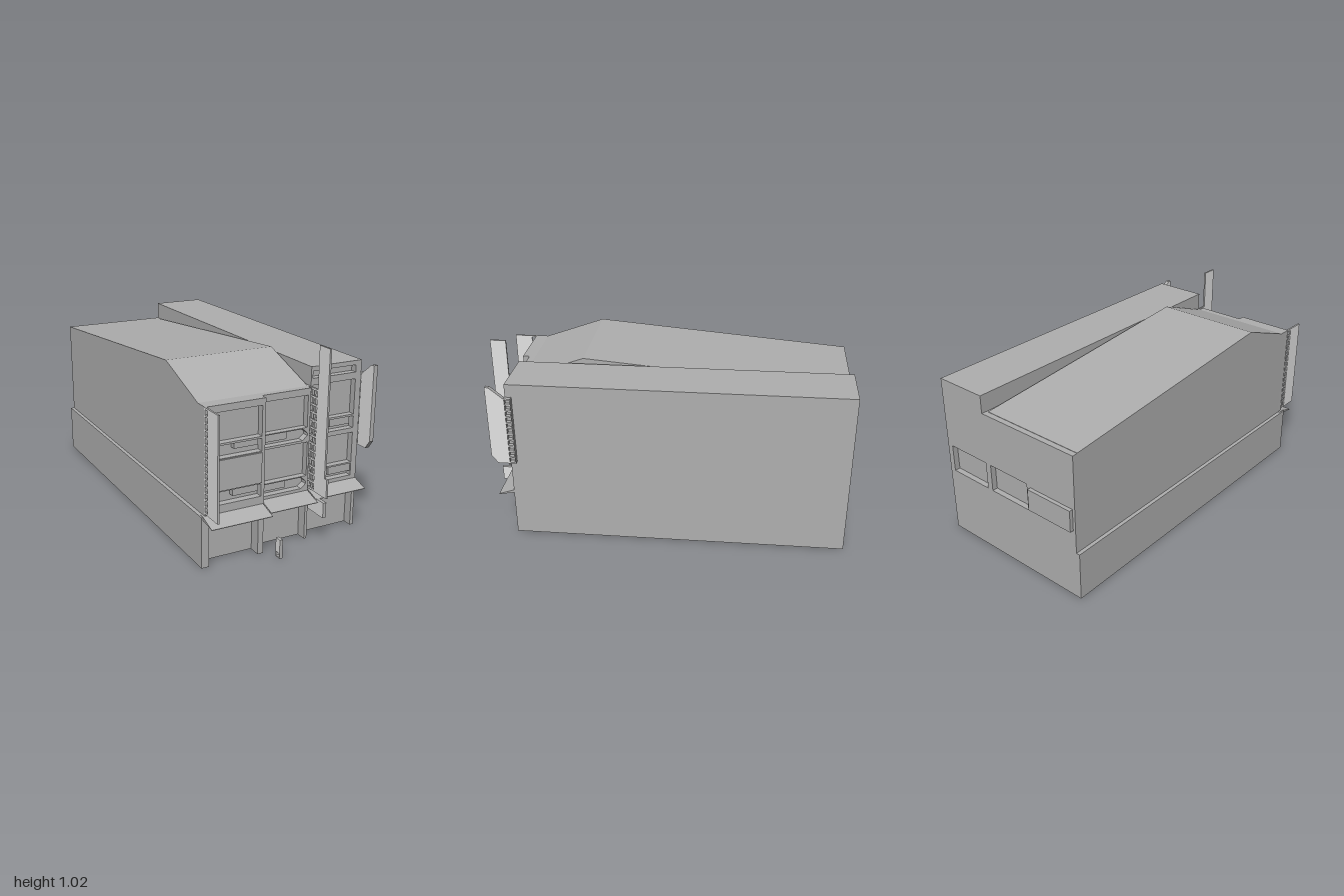
import * as THREE from 'three';

const wall = new THREE.MeshStandardMaterial({ color: 0xafafaf });
wall.name = 'wall grey';
const pale = new THREE.MeshStandardMaterial({ color: 0xe2e2e2 });
pale.name = 'pale grey';

export function createModel() {
  const model = new THREE.Group();
  model.name = 'shopBuilding';

  const points = (pts) => pts.map(([x, y]) => new THREE.Vector2(x, y));
  const rect = (x0, x1, y0, y1) => [[x0, y0], [x1, y0], [x1, y1], [x0, y1]];
  function extrude(pts, holes, depth) {
    const s = new THREE.Shape(points(pts));
    holes.forEach((h) => s.holes.push(new THREE.Path(points(h))));
    return new THREE.ExtrudeGeometry(s, { depth, bevelEnabled: false });
  }

  // The whole plot leans slightly sideways towards the back.
  function add(name, geo, mat = wall) {
    const p = geo.attributes.position;
    for (let i = 0; i < p.count; i++) {
      const z = p.getZ(i);
      if (z < 0.81) p.setX(i, p.getX(i) - 0.0083 * (0.81 - z));
    }
    geo.computeVertexNormals();
    const mesh = new THREE.Mesh(geo, mat);
    mesh.name = name;
    model.add(mesh);
  }
  function box(name, x0, x1, y0, y1, z0, z1, mat) {
    const g = new THREE.BoxGeometry(x1 - x0, y1 - y0, z1 - z0);
    g.translate((x0 + x1) / 2, (y0 + y1) / 2, (z0 + z1) / 2);
    add(name, g, mat);
  }
  // Profile given as (z, y), extruded across x.
  function slab(name, x0, x1, pts, mat, holes = []) {
    const g = extrude(pts, holes, x1 - x0);
    g.rotateY(-Math.PI / 2);
    g.translate(x1, 0, 0);
    add(name, g, mat);
  }
  // Outline given as (x, y), with openings, extruded along z.
  function plate(name, pts, holes, z0, z1) {
    const g = extrude(pts, holes, z1 - z0);
    g.translate(0, 0, z0);
    add(name, g);
  }

  // Main volumes, with a pale underside
  box('underside', -0.47, 0.458, 0, 0.003, -0.98, 0.76, [wall, wall, wall, pale, wall, wall]);
  box('lowerBody', -0.47, 0.458, 0.003, 0.265, -0.95, 0.76);
  slab('pitchedBody', -0.45, 0.147, [[-0.95, 0.265], [0.8, 0.265], [0.8, 0.803], [0.46, 0.925], [-0.95, 0.806]]);
  box('roofGutter', 0.147, 0.16, 0.265, 0.803, -0.95, 0.775);
  box('flatRoofBody', 0.16, 0.458, 0.265, 0.9, -0.95, 0.775);

  // Back wall with two recessed windows and one shuttered window
  plate('backWall',
    [[-0.47, 0.003], [0.458, 0.003], [0.458, 0.9], [0.16, 0.9], [0.16, 0.804], [-0.45, 0.804], [-0.45, 0.265], [-0.47, 0.265]],
    [rect(0.165, 0.425, 0.37, 0.52), rect(-0.13, 0.13, 0.37, 0.52)], -0.98, -0.95);
  box('backShutter', -0.435, -0.155, 0.39, 0.51, -1, -0.97);

  // Upper facades with window and balcony openings
  box('leftBayBacking', -0.45, -0.13, 0.265, 0.803, 0.79, 0.835);
  const roundLeft = (y) => [[-0.395, y], [-0.148, y], [-0.148, y + 0.065], [-0.395, y + 0.065],
    [-0.413, y + 0.055], [-0.42, y + 0.035], [-0.413, y + 0.012]];
  const roundRight = (y) => [[-0.12, y], [0.105, y], [0.132, y + 0.022], [0.132, y + 0.036], [0.105, y + 0.06], [-0.12, y + 0.06]];
  plate('leftFacade', rect(-0.45, -0.13, 0.265, 0.803),
    [rect(-0.43, -0.148, 0.615, 0.768), roundLeft(0.54), roundLeft(0.308)], 0.835, 0.872);
  plate('middleFacade', rect(-0.13, 0.145, 0.265, 0.803),
    [rect(-0.128, 0.13, 0.603, 0.768), roundRight(0.538), rect(-0.128, 0.134, 0.348, 0.526), roundRight(0.283)], 0.8, 0.835);
  plate('rightFacade', [[0.145, 0.265], [0.458, 0.265], [0.458, 0.9], [0.16, 0.9], [0.16, 0.803], [0.145, 0.803]],
    [rect(0.17, 0.425, 0.84, 0.877), rect(0.17, 0.425, 0.62, 0.805), rect(0.17, 0.425, 0.547, 0.61),
      rect(0.17, 0.425, 0.36, 0.522), rect(0.17, 0.425, 0.287, 0.352)], 0.775, 0.81);
  box('leftWindowPanel', -0.43, -0.148, 0.38, 0.535, 0.868, 0.878);

  // Air-conditioner boxes on the balconies
  [[-0.295, -0.165, 0.575, 0.612, 0.865], [-0.3, -0.162, 0.337, 0.378, 0.865],
    [-0.118, 0.015, 0.56, 0.6, 0.828], [-0.116, 0.013, 0.306, 0.345, 0.828],
    [0.285, 0.405, 0.57, 0.615, 0.803], [0.29, 0.425, 0.31, 0.354, 0.803]]
    .forEach(([x0, x1, y0, y1, z]) => box('airUnit', x0, x1, y0, y1, z - 0.035, z));

  // Ground floor: recessed fronts, dividing fins and a shutter
  box('leftShopFront', -0.45, -0.145, 0.003, 0.265, 0.75, 0.81);
  box('middleShopFront', -0.145, 0.142, 0.003, 0.265, 0.75, 0.78);
  box('shopShutter', -0.13, 0.132, 0.003, 0.21, 0.778, 0.784);
  [[-0.47, -0.43, 0.875], [-0.16, -0.13, 0.872], [0.135, 0.15, 0.835], [0.44, 0.458, 0.81]]
    .forEach(([x0, x1, z]) => box('groundFin', x0, x1, 0, 0.265, 0.76, z));

  // Sloping awnings
  [[-0.462, -0.135, 0.872, 0.965], [-0.122, 0.145, 0.835, 0.93], [0.158, 0.458, 0.81, 0.895]]
    .forEach(([x0, x1, z0, z1]) => {
      slab('awning', x0, x1, [[z0 - 0.03, 0.255], [z1, 0.235], [z1, 0.238], [z0, 0.267], [z0 - 0.03, 0.267]]);
    });

  // Projecting signs: pale faces, grey edges, and a ladder of openings along the wall side
  const signMats = [pale, wall];
  function ladder(z0, z1, y0, y1, n) {
    const step = (y1 - y0) / n;
    return Array.from({ length: n }, (_, i) =>
      rect(z0, z1, y0 + (i + 0.12) * step, y0 + (i + 0.88) * step));
  }
  slab('leftSign', -0.452, -0.442, rect(0.868, 1, 0.28, 0.803), signMats, ladder(0.874, 0.9, 0.285, 0.798, 15));
  slab('middleSign', 0.16, 0.17,
    [[0.808, 0.27], [0.975, 0.27], [0.975, 0.37], [0.955, 0.37], [0.955, 1.02], [0.87, 1.02], [0.87, 0.8], [0.808, 0.8]],
    signMats, [...ladder(0.814, 0.836, 0.275, 0.795, 13), ...ladder(0.842, 0.866, 0.275, 0.795, 13)]);
  slab('rightSign', 0.461, 0.484,
    [[0.776, 0.45], [0.872, 0.45], [0.905, 0.495], [0.905, 0.89], [0.885, 0.89], [0.812, 0.83], [0.776, 0.83]],
    signMats, ladder(0.78, 0.808, 0.453, 0.828, 11));
  box('rightSignFixing', 0.456, 0.462, 0.45, 0.83, 0.776, 0.78);
  slab('bracketSign', 0.16, 0.178, rect(0.81, 0.955, 0.16, 0.24), signMats);

  // Small standing sign with an open foot
  slab('standingSign', -0.093, -0.076, rect(0.93, 0.967, 0.003, 0.102), signMats, [rect(0.935, 0.962, 0.008, 0.03)]);

  return model;
}
